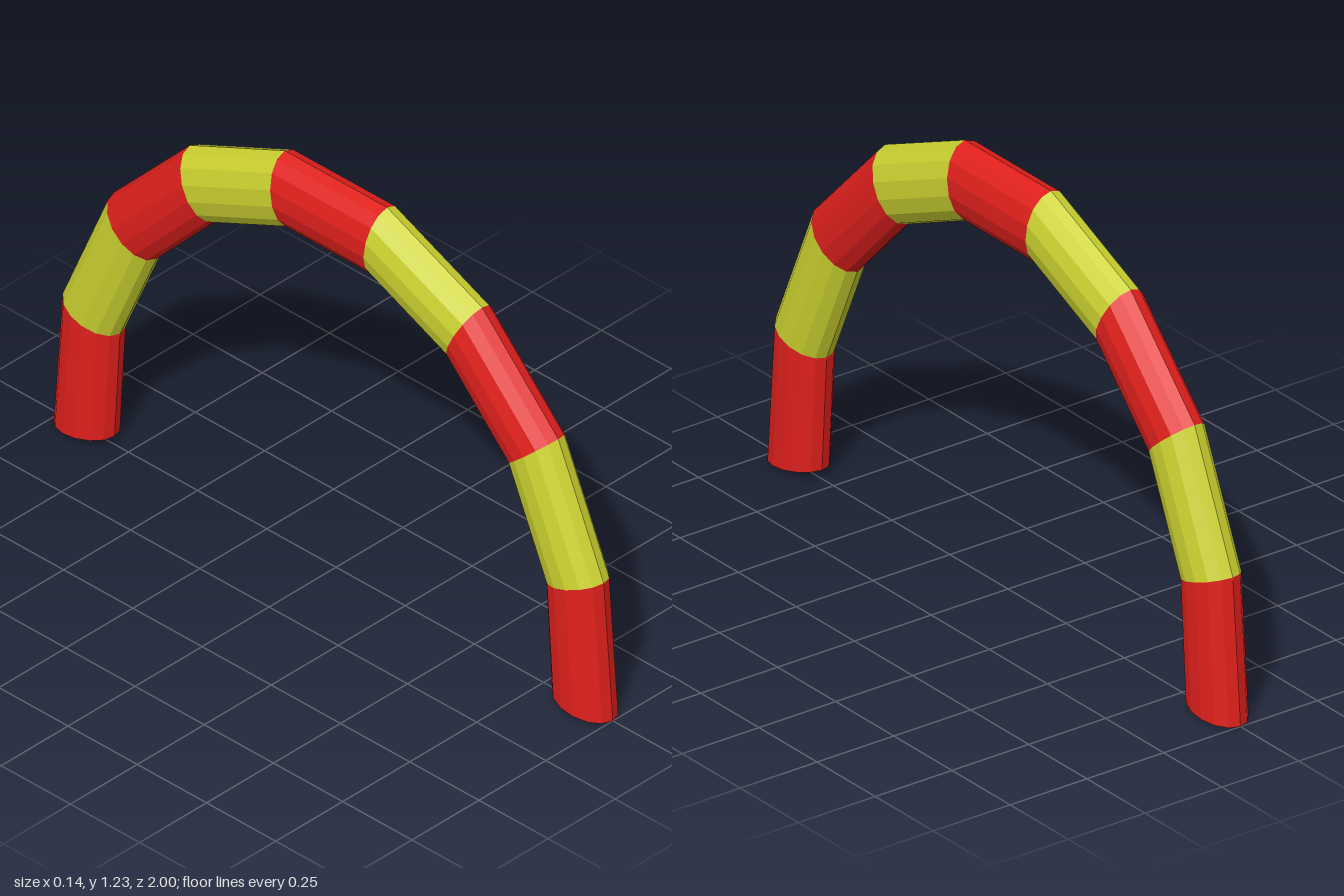
import * as THREE from 'three';

const SIDES = 14;
const HALF_WIDTH = 0.07;

// Joint rings of one half of the arch: outer z, outer y, inner z, inner y
const HALF = [
  [1.0, 0.0, 0.8, 0.025],
  [0.967, 0.42, 0.78, 0.36],
  [0.803, 0.797, 0.648, 0.662],
  [0.528, 1.08, 0.432, 0.887],
  [0.185, 1.23, 0.152, 1.01],
];

// Elliptical ring spanning the outer and inner point of a joint
function makeRing([oz, oy, iz, iy]) {
  const centre = new THREE.Vector3(0, (oy + iy) / 2, (oz + iz) / 2);
  const points = [];
  for (let i = 0; i < SIDES; i++) {
    const a = (i / SIDES) * Math.PI * 2;
    const c = Math.cos(a) / 2;
    points.push(new THREE.Vector3(
      HALF_WIDTH * Math.sin(a),
      centre.y + (oy - iy) * c,
      centre.z + (oz - iz) * c,
    ));
  }
  return { centre, points };
}

// Straight tube between two rings, optionally closed at a foot
function makeSegment(a, b, capStart, capEnd) {
  const tris = [];
  for (let i = 0; i < SIDES; i++) {
    const j = (i + 1) % SIDES;
    tris.push(a.points[i], a.points[j], b.points[j]);
    tris.push(a.points[i], b.points[j], b.points[i]);
    if (capStart) tris.push(a.centre, a.points[j], a.points[i]);
    if (capEnd) tris.push(b.centre, b.points[i], b.points[j]);
  }
  const geometry = new THREE.BufferGeometry().setFromPoints(tris);
  geometry.computeVertexNormals();
  return geometry;
}

export function createModel() {
  const group = new THREE.Group();
  group.name = 'stripedArch';

  const red = new THREE.MeshStandardMaterial({ color: 0xe0201c, flatShading: true, side: THREE.DoubleSide });
  const yellow = new THREE.MeshStandardMaterial({ color: 0xccd230, flatShading: true, side: THREE.DoubleSide });

  // Mirror the half profile to get the whole arch, front foot to back foot
  const mirrored = HALF.map(([oz, oy, iz, iy]) => [-oz, oy, -iz, iy]).reverse();
  const rings = [...HALF, ...mirrored].map(makeRing);
  const count = rings.length - 1;

  // Alternating coloured segments
  for (let i = 0; i < count; i++) {
    const geometry = makeSegment(rings[i], rings[i + 1], i === 0, i === count - 1);
    const mesh = new THREE.Mesh(geometry, i % 2 ? yellow : red);
    mesh.name = i === 0 ? 'frontFoot' : i === count - 1 ? 'backFoot' : `archSegment${i}`;
    group.add(mesh);
  }
  return group;
}
